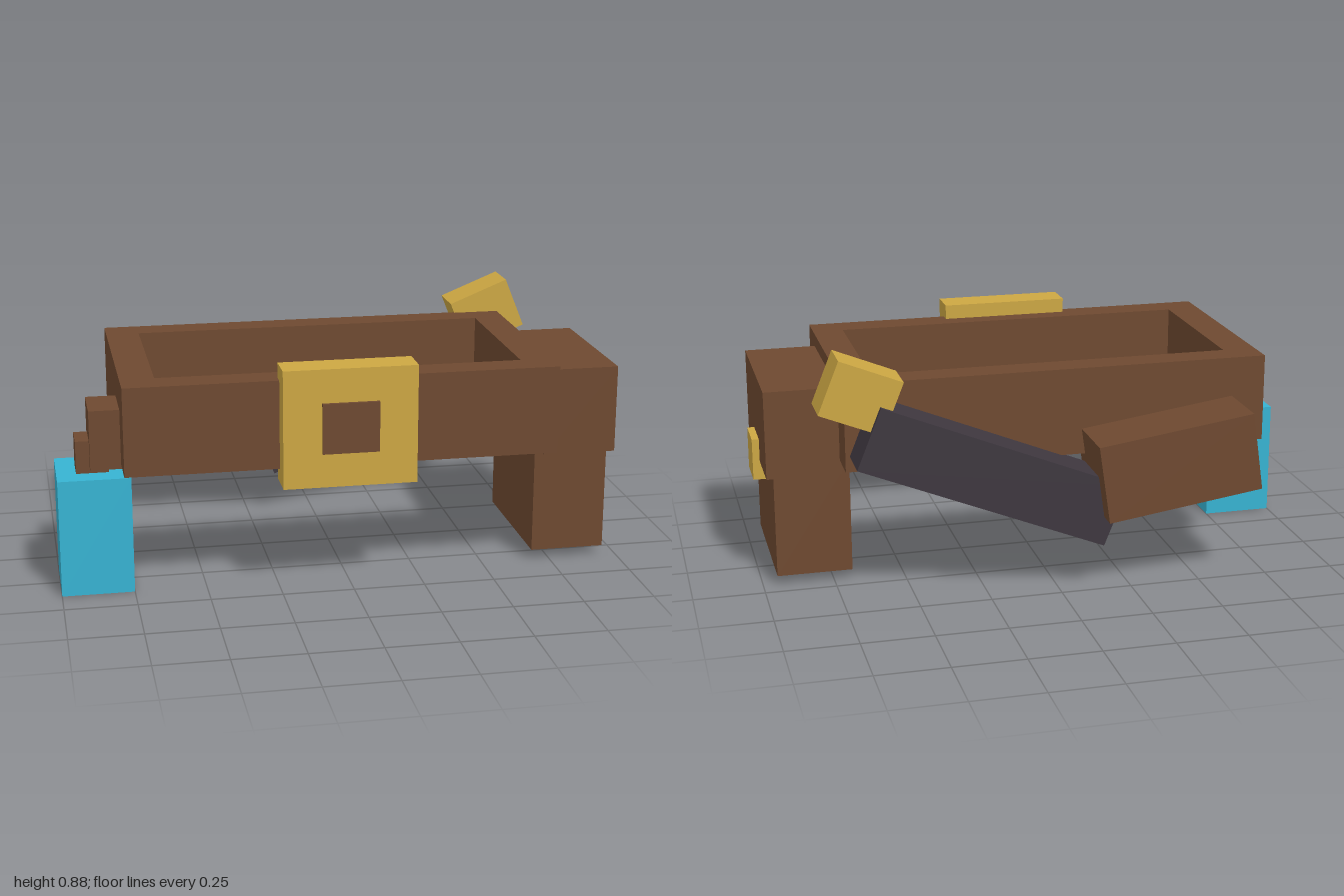
import * as THREE from 'three';

const mat = (name, color) => Object.assign(new THREE.MeshStandardMaterial({ color }), { name });

export function createModel() {
  const leather = mat('brown leather', 0x6e4930);
  const gold = mat('gold metal', 0xcca743);
  const glass = mat('cyan glass', 0x37b3d2);
  const dark = mat('dark sheath', 0x3e373f);

  const model = new THREE.Group();
  model.name = 'utilityBelt';

  // box given by its extents along each axis
  const block = (name, material, [x0, x1], [y0, y1], [z0, z1]) => {
    const mesh = new THREE.Mesh(new THREE.BoxGeometry(x1 - x0, y1 - y0, z1 - z0), material);
    mesh.position.set((x0 + x1) / 2, (y0 + y1) / 2, (z0 + z1) / 2);
    mesh.name = name;
    model.add(mesh);
    return mesh;
  };

  // box tilted in the xy plane, given by centre, size and angle
  const tilted = (name, material, x, y, length, height, z, degrees) => {
    const mesh = block(name, material, [x - length / 2, x + length / 2], [y - height / 2, y + height / 2], z);
    mesh.rotation.z = THREE.MathUtils.degToRad(degrees);
  };

  // rectangular belt loop, open in the middle
  const rect = (path, x0, x1, z0, z1) =>
    path.moveTo(x0, -z1).lineTo(x1, -z1).lineTo(x1, -z0).lineTo(x0, -z0).closePath();
  const outline = new THREE.Shape();
  rect(outline, -0.78, 0.72, -0.345, 0.48);
  const opening = new THREE.Path();
  rect(opening, -0.662, 0.61, -0.24, 0.372);
  outline.holes.push(opening);
  const band = new THREE.ExtrudeGeometry(outline, { depth: 0.31, bevelEnabled: false });
  band.rotateX(-Math.PI / 2).translate(0, 0.45, 0);
  const belt = new THREE.Mesh(band, leather);
  belt.name = 'belt';
  model.add(belt);

  // front buckle with its raised centre
  block('buckle', gold, [-0.255, 0.205], [0.4, 0.812], [0.44, 0.555]);
  block('buckleCentre', leather, [-0.123, 0.072], [0.52, 0.695], [0.5, 0.567]);

  // side pouch with lid and clasp
  block('pouchBody', leather, [0.685, 0.95], [0.035, 0.445], [-0.194, 0.335]);
  block('pouchLid', leather, [0.715, 0.975], [0.4, 0.712], [-0.21, 0.35]);
  block('pouchClasp', gold, [0.93, 1], [0.333, 0.482], [-0.005, 0.142]);

  // bottle hanging from a strap
  block('bottle', glass, [-1, -0.75], [0, 0.415], [0.12, 0.382]);
  block('bottleHolder', leather, [-0.885, -0.745], [0.435, 0.645], [0.16, 0.338]);
  block('bottleCork', leather, [-0.932, -0.82], [0.415, 0.53], [0.192, 0.305]);

  // slanted sheath across the back, with pommel and rear pouch
  tilted('sheath', dark, 0.235, 0.438, 0.922, 0.227, [-0.5, -0.32], 22);
  tilted('pommel', gold, 0.683, 0.748, 0.232, 0.194, [-0.484, -0.336], 22);
  tilted('rearPouch', leather, -0.405, 0.443, 0.556, 0.278, [-0.568, -0.28], -8.2);

  return model;
}
